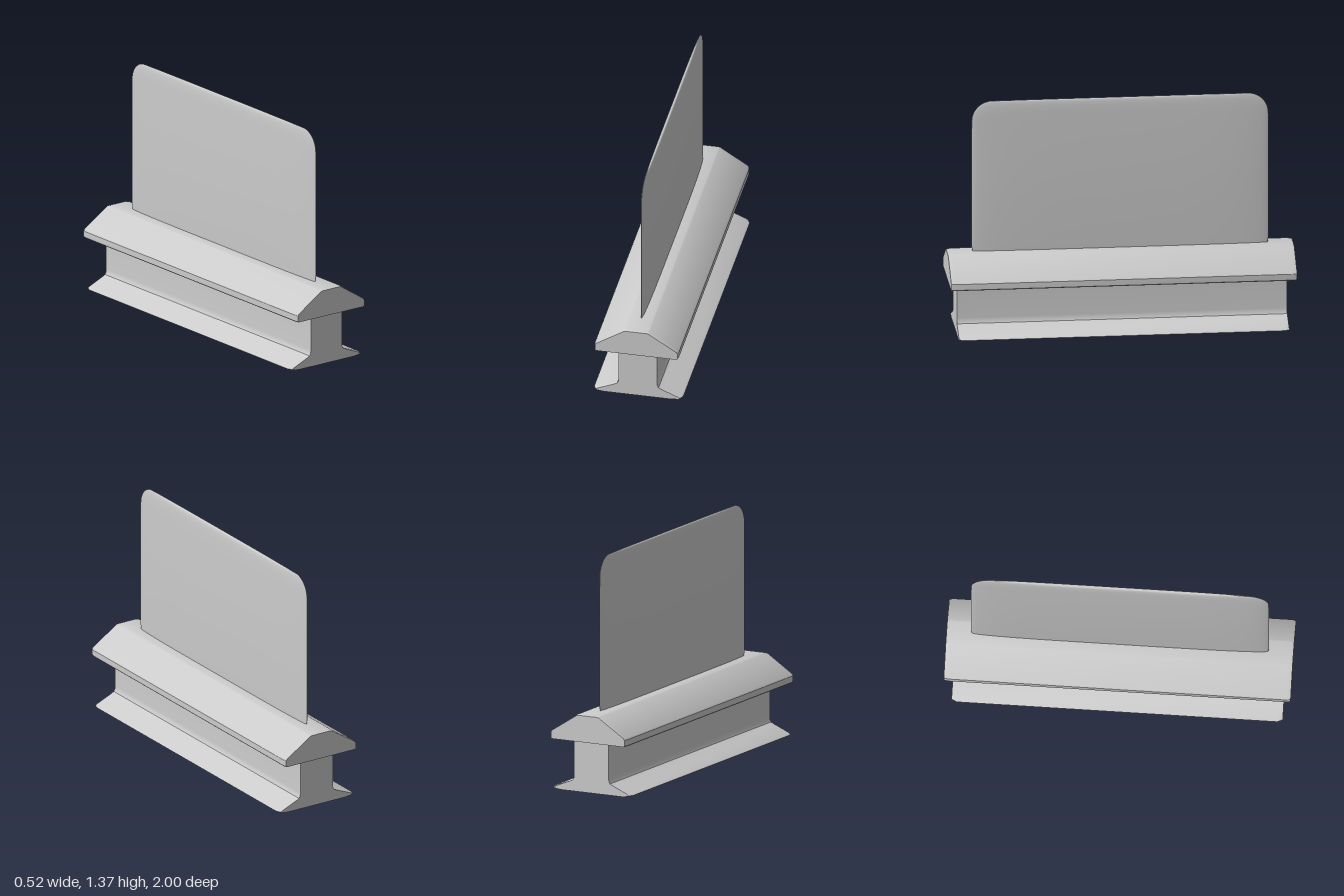
import * as THREE from 'three';
import { toCreasedNormals, mergeVertices } from 'three/addons/utils/BufferGeometryUtils.js';

const material = new THREE.MeshStandardMaterial({ color: 0xcccccc });

// Sweeps the mirrored half-profile along z; the end sections are eased by a rule.
function bar(name, half, zEnd, zInner, ease) {
  const left = half.map(([x, y]) => [-x, y]).reverse();
  const shape = new THREE.Shape([...half, ...left].map(([x, y]) => new THREE.Vector2(x, y)));
  const geo = new THREE.ExtrudeGeometry(shape, { depth: 3, steps: 3, bevelEnabled: false });
  const stations = [-zEnd, -zInner, zInner, zEnd];
  const pos = geo.attributes.position;
  for (let i = 0; i < pos.count; i++) {
    const k = Math.round(pos.getZ(i));
    let x = pos.getX(i), y = pos.getY(i);
    if (k === 0 || k === 3) [x, y] = ease(x, y);
    pos.setXYZ(i, x, y, stations[k]);
  }
  const mesh = new THREE.Mesh(toCreasedNormals(geo, 0.5), material);
  mesh.name = name;
  return mesh;
}

// Thin upright plate: stacked lens-shaped sections with rounded upper corners.
function createBlade() {
  const sections = [[0.44, 0.85, 0.014], [0.475, 0.855, 0.015], [0.5, 0.86, 0.016],
    [0.7, 0.86, 0.02], [0.9, 0.86, 0.021], [1.1, 0.86, 0.019], [1.25, 0.858, 0.016]];
  const cornerSteps = 10;
  for (let i = 1; i <= cornerSteps; i++) {
    const a = (i / cornerSteps) * Math.PI / 2;
    const c = Math.max(0, Math.cos(a));
    sections.push([1.25 + 0.12 * Math.sin(a), 0.738 + 0.12 * c, 0.0155 * Math.sqrt(c)]);
  }
  const n = 64, points = [], index = [];
  for (const [y, length, thick] of sections) {
    for (let j = 0; j < n; j++) {
      const a = (j / n) * Math.PI * 2, c = Math.cos(a);
      points.push(thick * Math.sin(a), y, length * Math.sign(c) * Math.sqrt(Math.abs(c)));
    }
  }
  for (let i = 0; i < sections.length - 1; i++) {
    for (let j = 0; j < n; j++) {
      const a = i * n + j, b = i * n + (j + 1) % n;
      index.push(a, b, b + n, a, b + n, a + n);
    }
  }
  const geo = new THREE.BufferGeometry();
  geo.setAttribute('position', new THREE.Float32BufferAttribute(points, 3));
  geo.setIndex(index);
  const smooth = mergeVertices(geo, 1e-5);
  smooth.computeVertexNormals();
  const mesh = new THREE.Mesh(smooth, material);
  mesh.name = 'blade';
  return mesh;
}

export function createModel() {
  const group = new THREE.Group();
  group.name = 'bladeOnRail';

  // Rail: wide foot sweeping up through a fillet into the upright web
  group.add(bar('rail', [
    [0.2, 0], [0.255, 0.005], [0.262, 0.01], [0.25, 0.018], [0.14, 0.058],
    [0.122, 0.067], [0.115, 0.08], [0.113, 0.1], [0.113, 0.31],
  ], 0.955, 0.925, (x, y) => [Math.abs(x) > 0.21 ? x * 0.945 : x, y]));

  // Cap: flat underside, short sides and a sloped roof
  group.add(bar('cap', [
    [0.243, 0.305], [0.247, 0.31], [0.247, 0.345], [0.24, 0.355], [0.075, 0.463], [0.065, 0.466],
  ], 1, 0.975, (x, y) => [x * 0.98, y > 0.4 ? y - 0.005 : y]));

  group.add(createBlade());
  return group;
}
